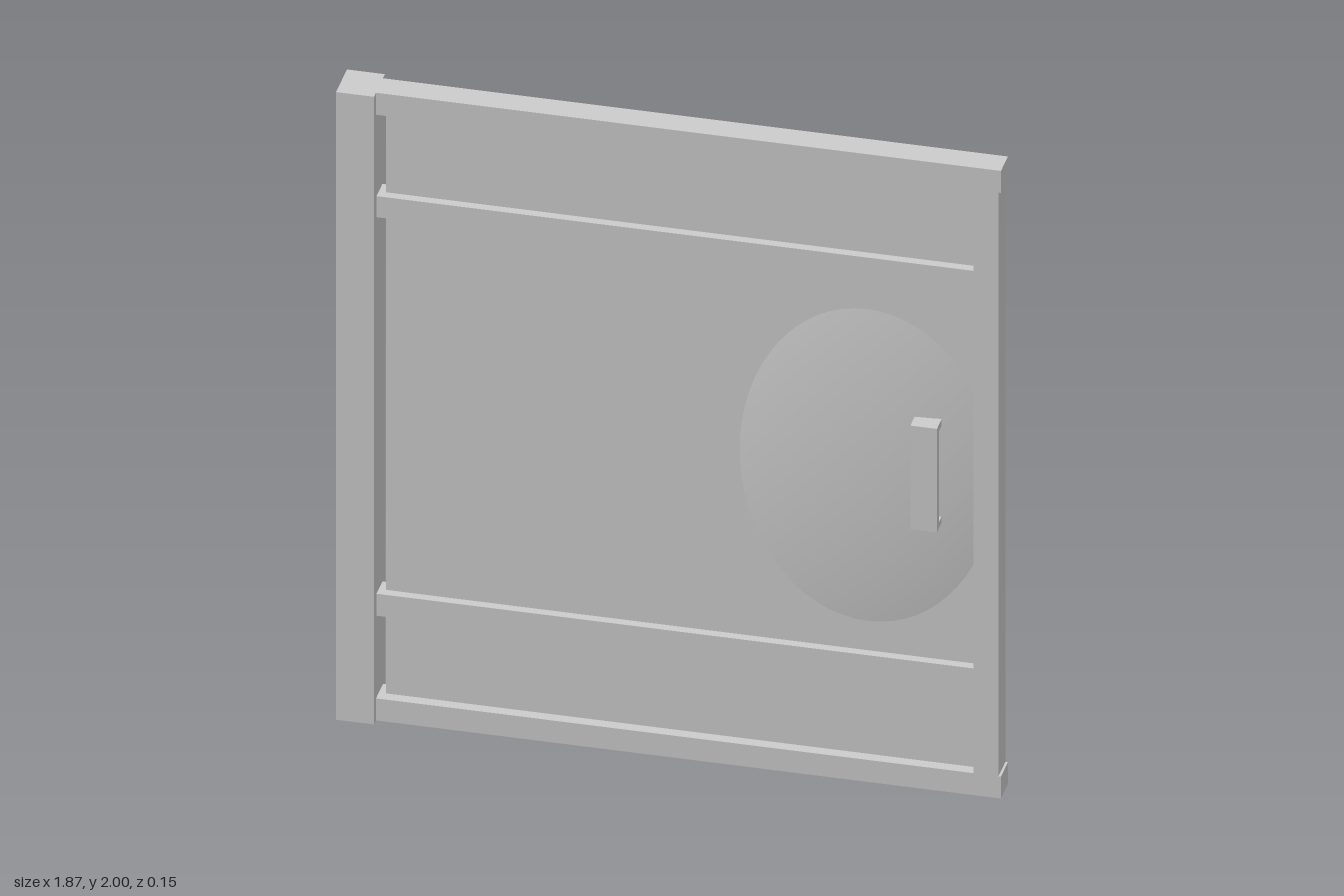
import * as THREE from 'three';

export function createModel() {
  const group = new THREE.Group();
  const mat = new THREE.MeshStandardMaterial({ color: 0xcccccc });

  // Box given by its limits in x, y and z
  const box = (name, x0, x1, y0, y1, z0, z1, parent = group) => {
    const mesh = new THREE.Mesh(new THREE.BoxGeometry(x1 - x0, y1 - y0, z1 - z0), mat);
    mesh.position.set((x0 + x1) / 2, (y0 + y1) / 2, (z0 + z1) / 2);
    mesh.name = name;
    parent.add(mesh);
  };

  // Hinge post, frame and infill panel
  box('hingePost', -0.935, -0.828, 0, 2, -0.0625, 0.0625);
  box('topRail', -0.828, 0.935, 1.93, 2, -0.04, 0.04);
  box('bottomRail', -0.828, 0.935, 0, 0.07, -0.04, 0.04);
  box('latchStile', 0.857, 0.928, 0.07, 1.93, -0.04, 0.04);
  box('upperCrossRail', -0.828, 0.857, 1.6, 1.667, -0.034, 0.034);
  box('lowerCrossRail', -0.828, 0.857, 0.33, 0.4, -0.034, 0.034);
  box('panel', -0.807, 0.857, 0.07, 1.93, -0.0075, 0.0075);

  // Shallow oval boss: a spherical cap, flattened and stretched
  const angle = 0.5;
  const cap = new THREE.SphereGeometry(1, 64, 12, 0, Math.PI * 2, 0, angle);
  cap.translate(0, -Math.cos(angle), 0);
  cap.rotateX(Math.PI / 2);
  cap.scale(0.36 / Math.sin(angle), 0.497 / Math.sin(angle), 0.028 / (1 - Math.cos(angle)));

  // Boss and pull handle on both faces
  for (const [side, turn] of [['front', 0], ['back', Math.PI]]) {
    const s = turn ? -1 : 1;
    const boss = new THREE.Mesh(cap, mat);
    boss.name = side + 'Boss';
    boss.position.set(0.55, 0.99, s * 0.0075);
    boss.rotation.y = turn;
    group.add(boss);

    const handle = new THREE.Group();
    handle.name = side + 'Handle';
    handle.position.set(0.726, 1.01, 0);
    handle.rotation.y = turn;
    box('grip', -0.0375, 0.0375, -0.165, 0.165, 0.052, 0.077, handle);
    box('upperMount', -0.0375, 0.0375, 0.145, 0.165, 0.005, 0.052, handle);
    box('lowerMount', -0.0375, 0.0375, -0.165, -0.145, 0.005, 0.052, handle);
    group.add(handle);
  }
  return group;
}
